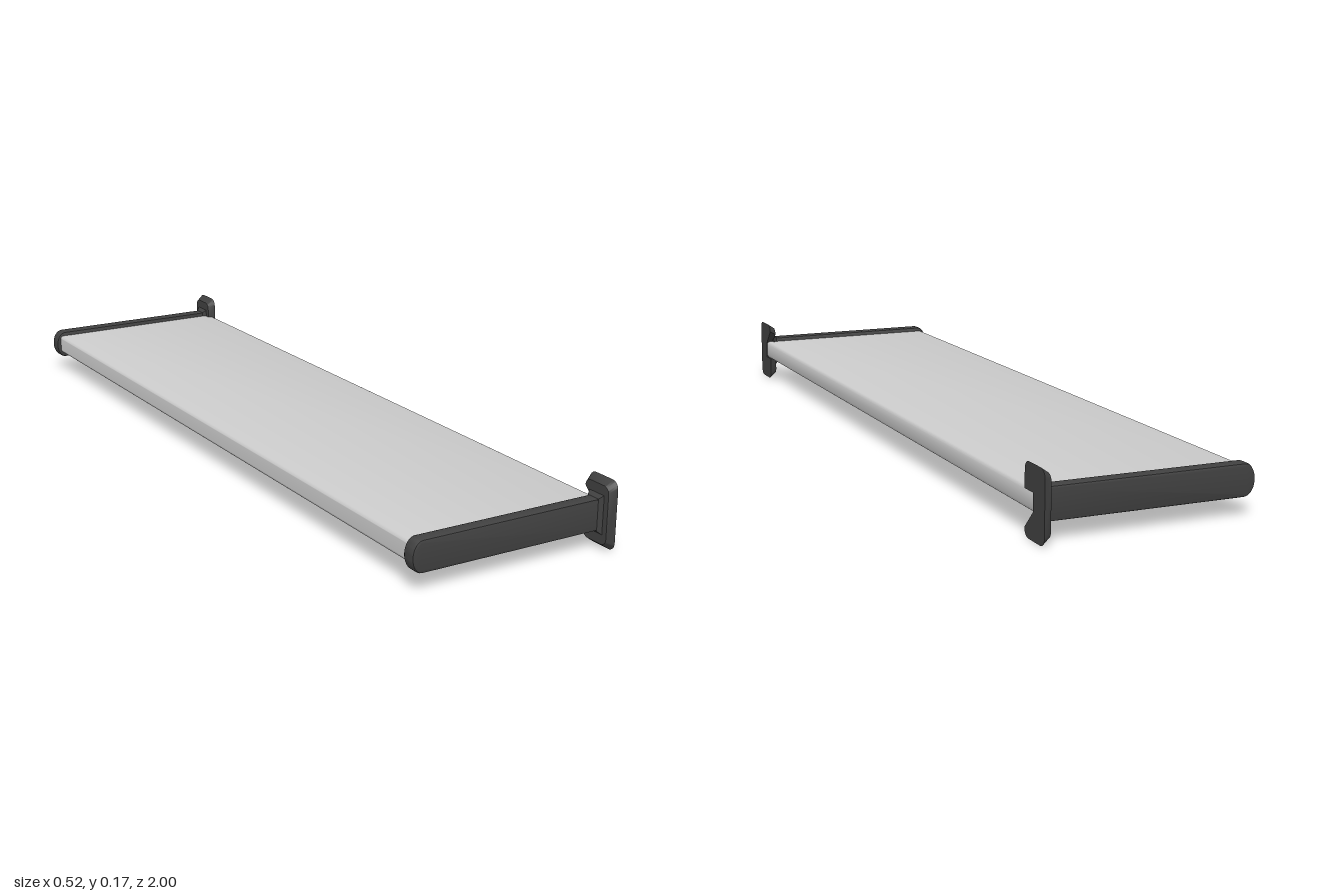
import * as THREE from 'three';
import { toCreasedNormals } from 'three/addons/utils/BufferGeometryUtils.js';

const panelMat = new THREE.MeshStandardMaterial({ color: 0xcccccc });
const darkMat = new THREE.MeshStandardMaterial({ color: 0x404040 });

function part(name, geometry, material) {
  const mesh = new THREE.Mesh(toCreasedNormals(geometry, 0.6), material);
  mesh.name = name;
  return mesh;
}

// Move every vertex by a rule
function reshape(geometry, rule) {
  const p = geometry.attributes.position;
  const v = new THREE.Vector3();
  for (let i = 0; i < p.count; i++) {
    v.fromBufferAttribute(p, i);
    rule(v);
    p.setXYZ(i, v.x, v.y, v.z);
  }
  return geometry;
}

// Long board with softly rounded long edges
function createPanel() {
  const [x0, x1, y0, y1, r] = [-0.25, 0.26, 0.06, 0.11, 0.008];
  const s = new THREE.Shape();
  s.absarc(x1 - r, y0 + r, r, -Math.PI / 2, 0);
  s.absarc(x1 - r, y1 - r, r, 0, Math.PI / 2);
  s.absarc(x0 + r, y1 - r, r, Math.PI / 2, Math.PI);
  s.absarc(x0 + r, y0 + r, r, Math.PI, Math.PI * 1.5);
  s.closePath();
  const g = new THREE.ExtrudeGeometry(s, { depth: 1.89, bevelEnabled: false, curveSegments: 4 });
  return part('shelfPanel', g.translate(0, 0, -0.945), panelMat);
}

// Side arm with a rounded free end
function createArm() {
  const s = new THREE.Shape();
  s.moveTo(0.245, -0.0385);
  s.lineTo(0.245, 0.0385);
  s.lineTo(-0.235, 0.0385);
  s.absellipse(-0.235, 0, 0.027, 0.0385, Math.PI / 2, Math.PI * 1.5, false, 0);
  s.closePath();
  const g = new THREE.ExtrudeGeometry(s, {
    depth: 0.024, curveSegments: 10,
    bevelThickness: 0.006, bevelSize: 0.006, bevelOffset: -0.006, bevelSegments: 2,
  });
  return part('arm', g.translate(0, 0, 0.9405), darkMat);
}

// Flared wall plate, notched on its inner side for the panel
function createWallPlate() {
  const [w, h, r, n, d] = [0.0475, 0.083, 0.02, 0.021, 0.0075];
  const s = new THREE.Shape();
  s.moveTo(w, n);
  s.absarc(w - r, h - r, r, 0, Math.PI / 2);
  s.absarc(-w + r, h - r, r, Math.PI / 2, Math.PI);
  s.absarc(-w + r, -h + r, r, Math.PI, Math.PI * 1.5);
  s.absarc(w - r, -h + r, r, -Math.PI / 2, 0);
  s.lineTo(w, -n);
  s.lineTo(d, -n);
  s.lineTo(d, n);
  s.closePath();
  const g = new THREE.ExtrudeGeometry(s, { depth: 0.019, bevelEnabled: false, curveSegments: 4 });
  reshape(g, (v) => {
    if (v.z > 0.01) return;
    v.x *= 0.82;
    if (Math.abs(v.y) > 0.03) v.y *= 0.84;
  });
  g.rotateY(Math.PI / 2).translate(0.243, 0, 0.9525);
  return part('wallPlate', g, darkMat);
}

// Small chamfered collar between arm and plate
function createCollar() {
  const g = new THREE.BoxGeometry(0.012, 0.077, 0.036);
  reshape(g, (v) => {
    if (v.x < 0) return;
    v.y *= 1.25;
    v.z *= 1.45;
  });
  return part('collar', g.translate(0.239, 0, 0.9525), darkMat);
}

function createBracket(name) {
  const bracket = new THREE.Group();
  bracket.name = name;
  bracket.add(createArm(), createWallPlate(), createCollar());
  bracket.position.y = 0.083;
  return bracket;
}

export function createModel() {
  const model = new THREE.Group();
  model.name = 'wallShelf';
  const front = createBracket('frontBracket');
  // Symmetric in height, so a half turn gives the opposite bracket
  const back = createBracket('backBracket');
  back.rotation.x = Math.PI;
  model.add(createPanel(), front, back);
  return model;
}
